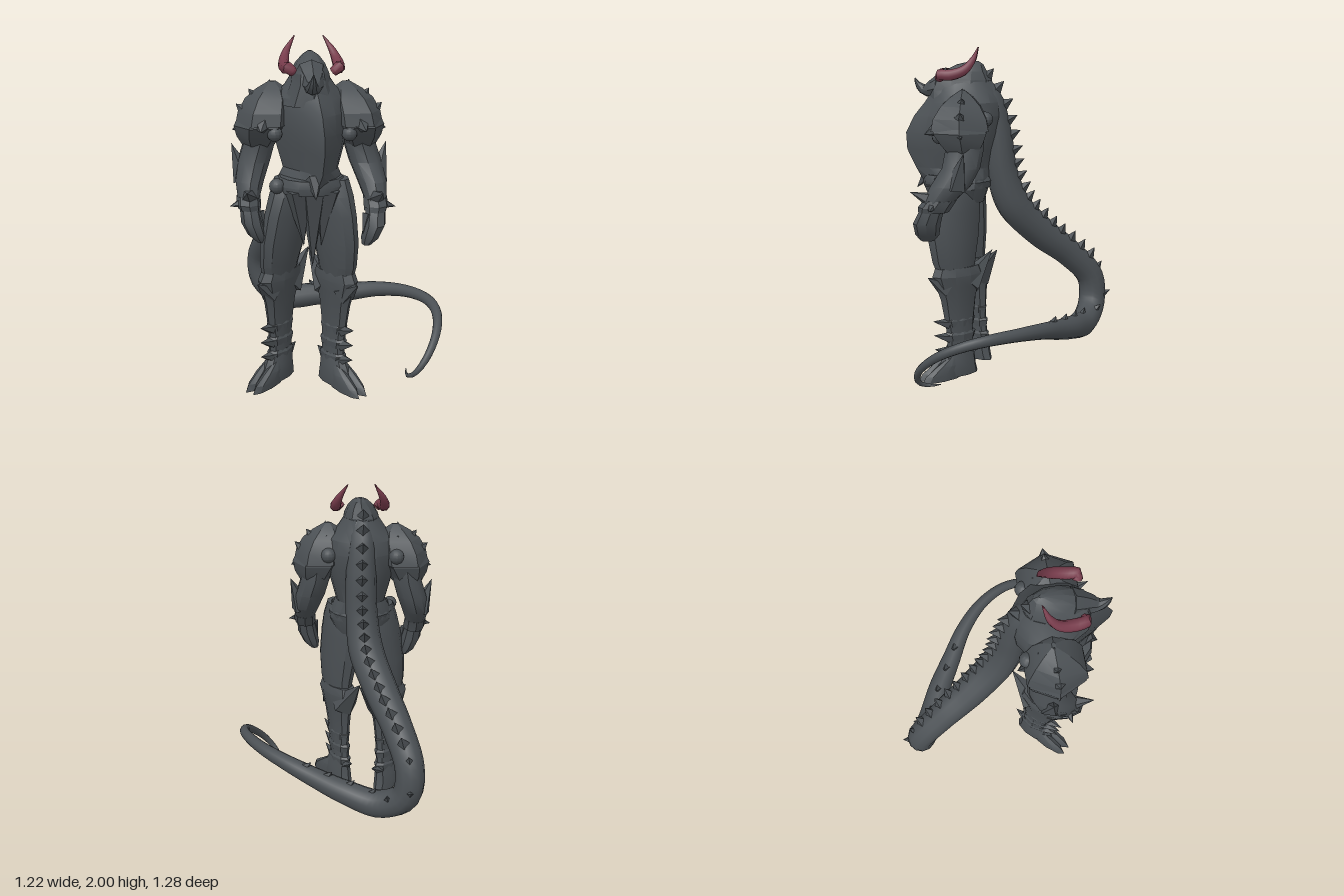
import * as THREE from 'three';
import { toCreasedNormals } from 'three/addons/utils/BufferGeometryUtils.js';

const V = (x, y, z) => new THREE.Vector3(x, y, z);
const CX = -0.17; // symmetry plane of the body

export function createModel() {
  const root = new THREE.Group();
  const armour = new THREE.MeshStandardMaterial({ color: 0x4b5054 });
  armour.name = 'dark armour';
  const horn = new THREE.MeshStandardMaterial({ color: 0x783c4c });
  horn.name = 'dark red horn';

  function add(name, geo, mat = armour, crease = 0.6) {
    const mesh = new THREE.Mesh(toCreasedNormals(geo, crease), mat);
    mesh.name = name;
    root.add(mesh);
  }

  // Skin a stack of rings (each counter-clockwise about the travel direction) and cap both ends
  function loft(rings) {
    const n = rings[0].length, pos = [], idx = [];
    rings.forEach(r => r.forEach(p => pos.push(p.x, p.y, p.z)));
    for (let i = 0; i < rings.length - 1; i++)
      for (let j = 0; j < n; j++) {
        const a = i * n + j, b = i * n + (j + 1) % n;
        idx.push(a, b, a + n, b, b + n, a + n);
      }
    [0, rings.length - 1].forEach((ri, end) => {
      const c = rings[ri].reduce((s, p) => s.add(p), V(0, 0, 0)).divideScalar(n);
      const ci = pos.length / 3;
      pos.push(c.x, c.y, c.z);
      for (let j = 0; j < n; j++) {
        const a = ri * n + j, b = ri * n + (j + 1) % n;
        end ? idx.push(ci, a, b) : idx.push(ci, b, a);
      }
    });
    const g = new THREE.BufferGeometry();
    g.setAttribute('position', new THREE.Float32BufferAttribute(pos, 3));
    g.setIndex(idx);
    g.computeVertexNormals();
    return g;
  }

  // Upright limb from rows [x, y, z, halfAcross, halfAlong], bottom to top; d is the long axis
  function limb(rows, d = [0, 1], n = 12) {
    return loft(rows.map(([x, y, z, a, l]) => Array.from({ length: n }, (_, j) => {
      const t = j / n * Math.PI * 2, c = Math.cos(t) * l, s = Math.sin(t) * a;
      return V(x + d[0] * c + d[1] * s, y, z + d[1] * c - d[0] * s);
    })));
  }

  // Tapered tube through rows [x, y, z, radius]
  function taper(rows, steps, n) {
    const curve = new THREE.CatmullRomCurve3(rows.map(r => V(r[0], r[1], r[2])));
    const f = curve.computeFrenetFrames(steps);
    const radius = u => {
      const t = curve.getUtoTmapping(u) * (rows.length - 1);
      const i = Math.min(Math.floor(t), rows.length - 2);
      return THREE.MathUtils.lerp(rows[i][3], rows[i + 1][3], t - i);
    };
    const rings = [];
    for (let i = 0; i <= steps; i++) {
      const p = curve.getPointAt(i / steps), r = radius(i / steps);
      rings.push(Array.from({ length: n }, (_, j) => {
        const t = j / n * Math.PI * 2;
        return p.clone().addScaledVector(f.normals[i], r * Math.cos(t))
          .addScaledVector(f.binormals[i], r * Math.sin(t));
      }));
    }
    return { geo: loft(rings), curve, radius };
  }

  function spike(name, base, tip, r, sides = 5) {
    const dir = tip.clone().sub(base), h = dir.length();
    const g = new THREE.ConeGeometry(r, h, sides).translate(0, h / 2, 0);
    g.applyQuaternion(new THREE.Quaternion().setFromUnitVectors(V(0, 1, 0), dir.normalize()));
    g.translate(base.x, base.y, base.z);
    add(name, g, armour, 0.3);
  }

  function orb(name, p, r) {
    add(name, new THREE.SphereGeometry(r, 12, 8).translate(p.x, p.y, p.z));
  }

  // Torso with a keeled breastplate: rows [y, halfWidth, zBack, zFront, keel]
  const torso = [
    [1.08, 0.15, 0.17, 0.46, 0.2], [1.17, 0.19, 0.14, 0.51, 0.2], [1.23, 0.18, 0.13, 0.55, 0.4],
    [1.29, 0.15, 0.13, 0.58, 0.7], [1.4, 0.18, 0.1, 0.63, 0.8], [1.5, 0.205, 0.07, 0.635, 0.8],
    [1.6, 0.215, 0.06, 0.585, 0.7], [1.68, 0.2, 0.07, 0.52, 0.5], [1.74, 0.14, 0.09, 0.48, 0.3],
    [1.8, 0.1, 0.12, 0.46, 0.2]];
  add('torso', loft(torso.map(([y, hx, zb, zf, k]) => Array.from({ length: 16 }, (_, j) => {
    const t = j / 16 * Math.PI * 2, c = Math.cos(t), s = -Math.sin(t);
    const front = (1 - k) * s + k * (1 - Math.abs(c));
    const keelShift = 0.05 * k * Math.max(s, 0);
    return V(CX + hx * c + keelShift, y, 0.28 + (s > 0 ? (zf - 0.28) * front : (0.28 - zb) * s));
  }))), armour, 0.45);

  // Belt, buckle and hanging loin plates
  add('belt', limb([[CX, 1.17, 0.33, 0.19, 0.205], [CX, 1.21, 0.33, 0.2, 0.215],
    [CX, 1.25, 0.335, 0.175, 0.2]], [0, 1], 14), armour, 0.7);
  spike('buckle', V(CX, 1.26, 0.5), V(CX, 1.16, 0.58), 0.05);
  orb('beltOrb', V(-0.365, 1.21, 0.42), 0.042);
  for (const [x, z, tipY] of [[CX, 0.45, 0.74], [CX - 0.08, 0.45, 0.86], [CX + 0.08, 0.45, 0.86]])
    spike('loinPlate', V(x, 1.2, z), V(CX + (x - CX) * 0.6, tipY, z - 0.05), 0.085);

  // Hooded head, snout and upturned nose horn
  add('head', limb([[CX, 1.64, 0.3, 0.17, 0.2], [CX, 1.75, 0.31, 0.115, 0.19],
    [CX, 1.81, 0.3, 0.105, 0.18], [CX + 0.005, 1.86, 0.28, 0.08, 0.13],
    [CX + 0.01, 1.9, 0.25, 0.045, 0.08], [CX + 0.01, 1.92, 0.22, 0.01, 0.02]], [0, 1], 10), armour, 0.4);
  add('snout', taper([[CX, 1.8, 0.36, 0.09], [CX, 1.76, 0.46, 0.06], [CX - 0.01, 1.75, 0.52, 0.035],
    [CX - 0.01, 1.78, 0.56, 0.02], [CX - 0.01, 1.82, 0.58, 0.003]], 10, 8).geo);

  // Horns sweeping back and up
  for (const s of [-1, 1]) {
    const H = (d, y, z, r) => [-0.163 + s * d, y, z, r];
    add('horn', taper([H(0.105, 1.82, 0.42, 0.025), H(0.13, 1.842, 0.43, 0.031),
      H(0.144, 1.842, 0.365, 0.034), H(0.145, 1.868, 0.285, 0.03),
      H(0.125, 1.922, 0.235, 0.02), H(0.078, 2.0, 0.2, 0.003)], 18, 8).geo, horn, 0.9);
  }

  // Long tail flowing from the nape, looping behind and curling round to the front
  const tail = taper([
    [-0.17, 1.82, 0.2, 0.05], [-0.165, 1.68, 0.13, 0.08], [-0.16, 1.48, 0.09, 0.09],
    [-0.165, 1.25, 0.06, 0.095], [-0.19, 1.05, -0.01, 0.105], [-0.27, 0.86, -0.18, 0.1],
    [-0.35, 0.71, -0.36, 0.09], [-0.41, 0.53, -0.515, 0.085], [-0.39, 0.36, -0.525, 0.085],
    [-0.25, 0.27, -0.46, 0.083], [-0.05, 0.3, -0.37, 0.072], [0.12, 0.34, -0.27, 0.06],
    [0.3, 0.39, -0.16, 0.047], [0.46, 0.42, -0.01, 0.037], [0.555, 0.42, 0.16, 0.032],
    [0.575, 0.39, 0.3, 0.029], [0.54, 0.32, 0.44, 0.025], [0.46, 0.21, 0.54, 0.021],
    [0.39, 0.12, 0.545, 0.015], [0.36, 0.09, 0.49, 0.01], [0.37, 0.1, 0.42, 0.002]], 90, 12);
  add('tail', tail.geo, armour, 0.9);

  // Dorsal spines: dense on the back, sparser along the tail
  for (let u = 0.005; u < 0.66; u += u < 0.4 ? 0.024 : 0.04) {
    const p = tail.curve.getPointAt(u), t = tail.curve.getTangentAt(u), r = tail.radius(u);
    const out = V(0, 0.15, -1).lerp(V(0, 1, 0), THREE.MathUtils.smoothstep(u, 0.43, 0.56));
    out.addScaledVector(t, -out.dot(t)).normalize();
    const base = p.clone().addScaledVector(out, r * 0.75);
    const tip = p.clone().addScaledVector(out, r + (u < 0.4 ? 0.055 : 0.03)).addScaledVector(t, -0.025);
    spike('tailSpine', base, tip, u < 0.4 ? 0.042 : 0.028, 4);
  }

  // Arms: d is the distance from the symmetry plane; the right arm hangs further back
  for (const s of [-1, 1]) {
    const lean = y => s > 0 ? 0.02 : -0.02 - 0.09 * THREE.MathUtils.clamp((1.45 - y) / 0.4, 0, 1);
    const P = (d, y, z) => V(CX + s * d, y, z + lean(y));
    const row = ([d, y, z, a, l]) => [CX + s * d, y, z + lean(y), a, l];
    add('arm', limb([[0.335, 1.09, 0.44, 0.058, 0.08], [0.345, 1.13, 0.41, 0.062, 0.09],
      [0.335, 1.22, 0.34, 0.082, 0.115], [0.308, 1.32, 0.28, 0.092, 0.11],
      [0.278, 1.42, 0.26, 0.09, 0.11], [0.25, 1.6, 0.27, 0.1, 0.13],
      [0.21, 1.7, 0.27, 0.06, 0.08]].map(row), [0, 1], 10), armour, 0.7);
    add('gauntletCuff', limb([[0.34, 1.07, 0.44, 0.062, 0.088], [0.345, 1.1, 0.43, 0.068, 0.098],
      [0.345, 1.14, 0.4, 0.066, 0.095]].map(row), [0, 1], 8), armour, 0.3);
    add('hand', limb([[0.285, 0.89, 0.48, 0.025, 0.04], [0.305, 0.93, 0.48, 0.05, 0.07],
      [0.33, 1.0, 0.48, 0.06, 0.08], [0.34, 1.08, 0.45, 0.055, 0.07]].map(row), [0, 1], 8));
    spike('thumb', P(0.29, 1.06, 0.48), P(0.26, 0.95, 0.5), 0.03);
    spike('elbowBlade', P(0.36, 1.22, 0.31), P(0.43, 1.42, 0.26), 0.07);
    spike('wristSpike', P(0.37, 1.11, 0.44), P(0.45, 1.09, 0.46), 0.035);
    spike('wristSpike', P(0.34, 1.14, 0.45), P(0.36, 1.19, 0.57), 0.05);

    // Layered pauldron, pointed outwards: sloping upper plate over a flared lower plate
    add('upperPauldron', limb([[0.25, 1.53, 0.285, 0.19, 0.155], [0.24, 1.6, 0.285, 0.175, 0.15],
      [0.22, 1.67, 0.28, 0.13, 0.13], [0.205, 1.72, 0.275, 0.075, 0.085],
      [0.2, 1.76, 0.27, 0.012, 0.02]].map(row), [s, 0], 6), armour, 0.35);
    add('lowerPauldron', limb([[0.28, 1.41, 0.27, 0.1, 0.09], [0.275, 1.46, 0.275, 0.14, 0.125],
      [0.26, 1.52, 0.285, 0.175, 0.155], [0.25, 1.57, 0.285, 0.16, 0.14]].map(row), [s, 0], 6), armour, 0.35);
    for (const [d, y, z, td, ty, tz] of [[0.27, 1.64, 0.28, 0.33, 1.72, 0.27],
      [0.33, 1.58, 0.285, 0.4, 1.64, 0.28], [0.33, 1.52, 0.285, 0.425, 1.5, 0.28],
      [0.26, 1.55, 0.39, 0.28, 1.51, 0.49], [0.22, 1.66, 0.275, 0.215, 1.77, 0.27]])
      spike('pauldronSpike', P(d, y, z), P(td, ty, tz), 0.065);
    orb('shoulderOrb', P(0.2, 1.59, 0.14), 0.045);
    orb('strapOrb', P(0.2, 1.49, 0.41), 0.042);
  }

  // Legs turned outwards: hip, knee and ankle as [x, z], toe direction as an angle from +z
  const legs = [
    { hip: [-0.065, 0.345], knee: [-0.03, 0.335], ankle: [-0.05, 0.315], yaw: 0.53 },
    { hip: [-0.27, 0.305], knee: [-0.345, 0.265], ankle: [-0.345, 0.215], yaw: -0.75 }];
  for (const { hip, knee, ankle, yaw } of legs) {
    const d = [Math.sin(yaw), Math.cos(yaw)];
    const axis = y => {
      const k = y > 0.65 ? (y - 0.65) / 0.5 : y / 0.65;
      const [a, b] = y > 0.65 ? [knee, hip] : [ankle, knee];
      return [0, 1].map(i => a[i] + (b[i] - a[i]) * Math.min(k, 1));
    };
    // Point at height y, moved f towards the toe and w sideways
    const at = (y, f, w = 0) => {
      const [x, z] = axis(y);
      return V(x + d[0] * f + d[1] * w, y, z + d[1] * f - d[0] * w);
    };
    const rows = list => list.map(([y, a, l, f = 0, w = 0]) => {
      const p = at(y, f, w);
      return [p.x, y, p.z, a, l];
    });
    add('thigh', limb(rows([[0.6, 0.06, 0.11], [0.74, 0.08, 0.145, 0.02], [0.88, 0.095, 0.17, 0.02],
      [1.04, 0.1, 0.175, 0.01], [1.15, 0.105, 0.165], [1.24, 0.085, 0.13]]), d, 12));
    add('greave', limb(rows([[0.14, 0.045, 0.09], [0.28, 0.046, 0.09], [0.4, 0.05, 0.105],
      [0.5, 0.06, 0.12], [0.58, 0.072, 0.145], [0.65, 0.082, 0.17], [0.7, 0.075, 0.15]]), d, 10), armour, 0.4);
    spike('kneeBlade', at(0.58, 0.08), at(0.65, 0.2), 0.07);
    spike('kneeBackBlade', at(0.58, -0.07), at(0.77, -0.25), 0.09);

    // Ankle bands, each with a spike to the front
    for (const y of [0.17, 0.26, 0.35]) {
      add('ankleBand', limb(rows([[y - 0.025, 0.048, 0.095], [y + 0.015, 0.053, 0.108],
        [y + 0.03, 0.046, 0.092]]), d, 8), armour, 0.3);
      spike('ankleSpike', at(y - 0.005, 0.08), at(y + 0.025, 0.18), 0.035);
    }
    spike('heelSpike', at(0.15, -0.07), at(0.18, -0.15), 0.035);

    // Cloven hoof: heel block and two toes
    add('hoof', limb(rows([[0.01, 0.058, 0.13, 0.02], [0.06, 0.064, 0.13, 0.03],
      [0.12, 0.056, 0.115, 0.02], [0.18, 0.046, 0.095, 0]]), d, 10), armour, 0.5);
    for (const w of [-0.027, 0.027])
      add('toe', limb(rows([[0, 0.033, 0.13, 0.155, w], [0.04, 0.036, 0.12, 0.14, w],
        [0.09, 0.033, 0.08, 0.1, w], [0.14, 0.015, 0.03, 0.06, w]]), d, 8), armour, 0.5);
  }
  return root;
}
